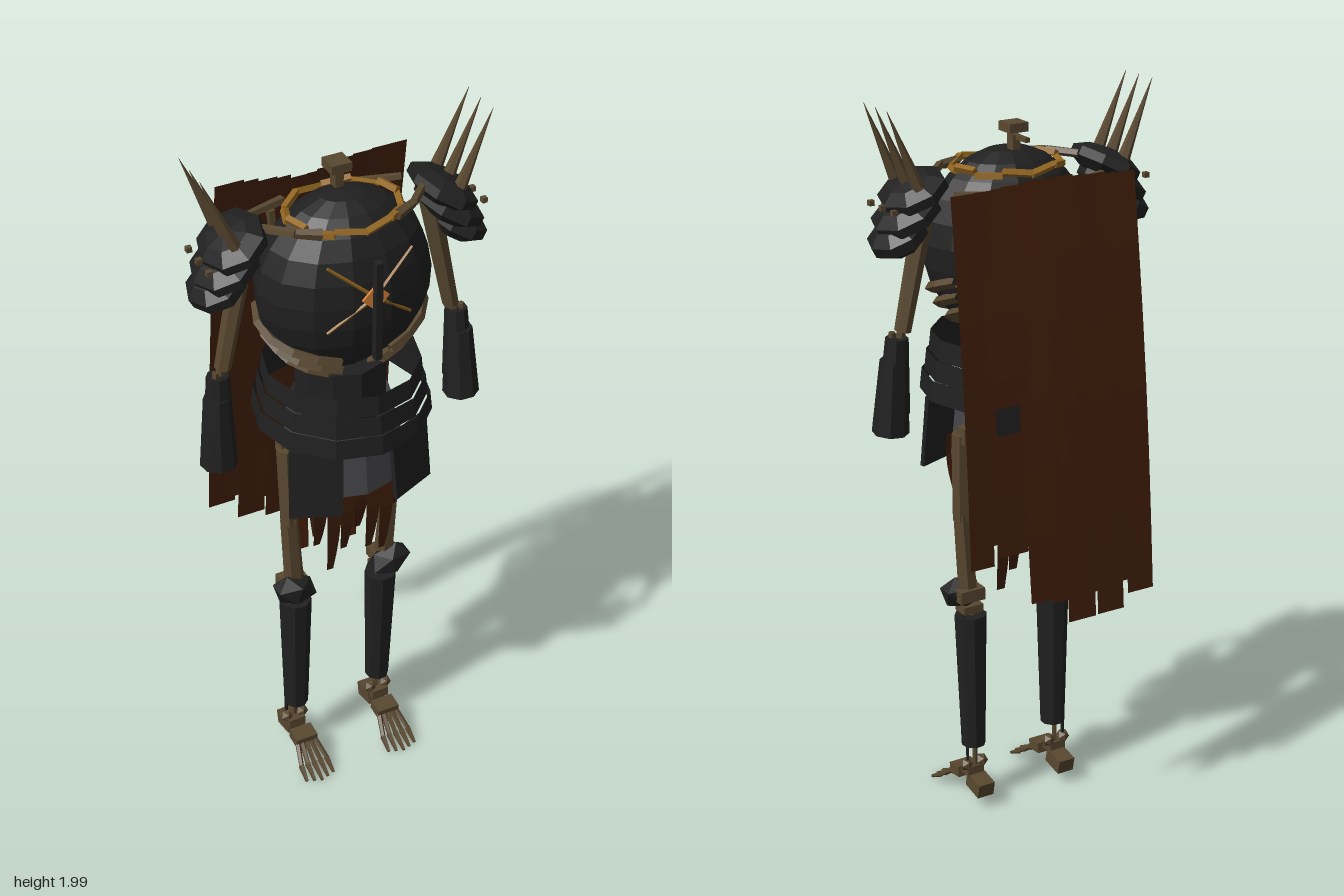
import * as THREE from 'three';

const mat = (name, color) => {
  const m = new THREE.MeshStandardMaterial({ color, flatShading: true, side: THREE.DoubleSide });
  m.name = name;
  return m;
};

export function createModel() {
  const model = new THREE.Group();
  model.name = 'skeletonKnight';
  const armor = mat('blackIron', 0x202021), bone = mat('oldBone', 0x594830), cloth = mat('tornCloth', 0x421f0a);
  const mail = mat('greyMail', 0x47474b), gold = mat('gold', 0x936620), ember = mat('ember', 0xdc8438);
  const V = (x, y, z) => new THREE.Vector3(x, y, z);

  const add = (name, geo, material, pos = [0, 0, 0], rot = [0, 0, 0], scale = [1, 1, 1]) => {
    const m = new THREE.Mesh(geo, material);
    m.name = name;
    m.position.set(...pos);
    m.rotation.set(...rot);
    m.scale.set(...scale);
    model.add(m);
    return m;
  };
  const box = (name, size, material, pos, rot) => add(name, new THREE.BoxGeometry(...size), material, pos, rot);
  // Tapered rod from a (radius ra) to b (radius rb)
  const rod = (name, a, b, ra, rb, material, sides = 6) => {
    const p = V(...a), q = V(...b), d = q.clone().sub(p);
    const m = add(name, new THREE.CylinderGeometry(rb, ra, d.length(), sides), material);
    m.position.copy(p).add(q).multiplyScalar(0.5);
    m.quaternion.setFromUnitVectors(V(0, 1, 0), d.normalize());
    return m;
  };
  // Hanging strip: z follows a bowed line from top to bottom
  const strip = (name, x, w, yTop, yBot, zTop, zBot, bow, taper, material = cloth) => {
    const g = new THREE.PlaneGeometry(1, 1, 1, 6), p = g.attributes.position;
    for (let i = 0; i < p.count; i++) {
      const t = 0.5 - p.getY(i);
      p.setXYZ(i, x + p.getX(i) * w * (1 - taper * t * t), yTop + (yBot - yTop) * t,
        zTop + (zBot - zTop) * t + bow * Math.sin(Math.PI * t));
    }
    g.computeVertexNormals();
    add(name, g, material);
  };

  // Torso: faceted breastplate over a darker inner bowl and abdomen
  add('breastplate', new THREE.SphereGeometry(1, 14, 9, 0, Math.PI * 2, 0, Math.PI * 0.72), armor, [0, 1.6, 0.06], [0, 0, 0], [0.235, 0.25, 0.17]);
  add('waistBowl', new THREE.SphereGeometry(1, 12, 8), armor, [0, 1.59, 0.07], [0, 0, 0], [0.2, 0.235, 0.14]);
  add('abdomen', new THREE.CylinderGeometry(0.12, 0.12, 0.16, 10), armor, [0, 1.29, 0.05]);

  // Collar of short gold bars, half sunk in the breastplate
  for (let i = 0; i < 12; i++) {
    const a = (i / 12) * Math.PI * 2, b = ((i + 1) / 12) * Math.PI * 2;
    const at = (t, dy) => [Math.sin(t) * 0.15, 1.803 + dy, 0.062 + Math.cos(t) * 0.122];
    rod('collarBar', at(a, i % 2 ? 0.006 : -0.006), at(b, i % 3 ? -0.004 : 0.006), 0.011, 0.011, gold, 4);
  }

  // Neck and spine
  box('neckTop', [0.055, 0.024, 0.055], bone, [0, 1.904, 0.028]);
  box('neckBase', [0.022, 0.04, 0.03], bone, [0, 1.865, 0.028]);
  box('neckSpur', [0.012, 0.012, 0.05], bone, [0, 1.88, -0.015]);
  for (let i = 0; i < 5; i++) box('vertebra', [0.045, 0.03, 0.04], bone, [0, 1.06 + i * 0.045, 0]);
  for (let i = 0; i < 5; i++) box('backSpur', [0.014, 0.035, 0.03], bone, [0, 1.48 + i * 0.06, -0.1]);

  // Chest emblem: bar, diamond and crossed rays
  box('emblemBar', [0.018, 0.28, 0.02], armor, [0, 1.61, 0.249]);
  box('emblemDiamond', [0.052, 0.052, 0.006], ember, [0, 1.642, 0.238], [0, 0, Math.PI / 4]);
  for (const s of [-1, 1]) {
    rod('emblemRayUpper', [0, 1.642, 0.236], [s * 0.115, 1.738, 0.205], 0.005, 0.004, gold, 4);
    rod('emblemRayLower', [0, 1.642, 0.236], [s * 0.115, 1.55, 0.205], 0.005, 0.004, gold, 4);
  }

  // Waist bands: three open rings
  for (const [y, r] of [[1.333, 0.211], [1.279, 0.223], [1.226, 0.236]])
    add('waistBand', new THREE.CylinderGeometry(r - 0.006, r, 0.056, 12, 1, true), armor, [0, y, 0.055]);

  // Mail skirt
  add('mailSkirt', new THREE.CylinderGeometry(0.137, 0.158, 0.22, 12, 1, true), mail, [0, 1.12, 0.05]);

  // Ragged strands under the skirt
  [[-0.11, 0.8], [-0.07, 0.7], [-0.03, 0.76], [0.01, 0.82], [0.045, 0.74], [0.085, 0.72], [0.115, 0.86]].forEach(([x, y], i) => {
    strip('frontStrand', x, 0.046, 1.06, y + 0.02, 0.15, 0.13, 0.014, 0.6);
    strip('backStrand', x * 0.95, 0.05, 1.06, y - (i % 3) * 0.03, -0.05, -0.035, -0.014, 0.5);
  });

  // Cape: overlapping strips [x, width, bottom, top z, bottom z]
  for (const [x, w, yb, zt, zb] of [
    [-0.2, 0.08, 0.69, -0.165, -0.29], [-0.12, 0.082, 0.64, -0.142, -0.27], [-0.04, 0.085, 0.63, -0.12, -0.255],
    [0.025, 0.065, 0.7, -0.122, -0.262], [0.095, 0.092, 0.73, -0.14, -0.29], [0.182, 0.088, 0.87, -0.156, -0.268],
    [0.26, 0.07, 0.84, -0.16, -0.245],
    [-0.16, 0.07, 0.72, -0.155, -0.272], [-0.08, 0.07, 0.7, -0.135, -0.255], [0.055, 0.06, 0.76, -0.13, -0.27],
    [0.14, 0.07, 0.88, -0.15, -0.262], [0.225, 0.06, 0.9, -0.16, -0.25],
  ]) strip('capeStrip', x, w, 1.8, yb, zt, zb, -0.012, 0);
  strip('capePatch', 0.18, 0.07, 1.26, 1.19, -0.235, -0.242, 0, 0, armor);

  for (const s of [-1, 1]) {
    // Lower ribs hugging the torso, falling towards the front
    for (let i = 0; i < 3; i++) {
      const pts = [];
      for (let j = 0; j <= 5; j++) {
        const a = -0.5 + j * 0.34, y = 1.535 - i * 0.042 - j * 0.019;
        const k = Math.sqrt(1 - ((y - 1.6) / 0.262) ** 2);
        pts.push(V(s * Math.cos(a) * 0.237 * k, y, 0.062 + Math.sin(a) * 0.172 * k));
      }
      add('rib', new THREE.TubeGeometry(new THREE.CatmullRomCurve3(pts), 5, 0.014, 4), bone);
    }

    // Collarbone and shoulder blade bars
    rod('collarboneInner', [s * 0.1, 1.8, 0.15], [s * 0.16, 1.805, 0.125], 0.016, 0.012, bone, 5);
    rod('collarboneOuter', [s * 0.16, 1.805, 0.125], [s * 0.22, 1.8, 0.06], 0.012, 0.012, bone, 5);
    rod('shoulderBladeRidge', [s * 0.09, 1.76, -0.095], [s * 0.22, 1.77, -0.05], 0.014, 0.01, bone, 5);
    rod('shoulderBladeEdge', [s * 0.12, 1.74, -0.1], [s * 0.1, 1.56, -0.105], 0.013, 0.008, bone, 5);

    // Pauldron: three overlapping faceted plates with spikes and rivets
    for (const [x, y, rx, ry, rz] of [[0.288, 1.772, 0.092, 0.04, 0.115], [0.309, 1.716, 0.094, 0.042, 0.108], [0.334, 1.662, 0.08, 0.045, 0.092]])
      add('pauldronPlate', new THREE.SphereGeometry(1, 8, 5), armor, [s * x, y, 0.04], [0, 0, -s * 0.5], [rx, ry, rz]);
    for (const z of [-0.022, 0.038, 0.098]) {
      rod('shoulderSpike', [s * 0.295, 1.77, z], [s * 0.39, 1.995, z], 0.019, 0.0005, bone, 6);
      box('rivet', [0.014, 0.014, 0.014], bone, [s * 0.376, 1.74, z]);
    }

    // Arm
    rod('upperArm', [s * 0.255, 1.74, 0.035], [s * 0.325, 1.41, 0.04], 0.028, 0.022, bone);
    rod('forearmBone', [s * 0.328, 1.43, 0.04], [s * 0.35, 1.2, 0.05], 0.013, 0.012, bone, 5);
    rod('forearmBone', [s * 0.35, 1.41, 0.05], [s * 0.365, 1.2, 0.06], 0.009, 0.009, bone, 5);
    rod('vambrace', [s * 0.34, 1.395, 0.043], [s * 0.347, 1.19, 0.055], 0.03, 0.042, armor, 8);
    rod('vambraceCuff', [s * 0.347, 1.335, 0.05], [s * 0.354, 1.135, 0.062], 0.036, 0.049, armor, 8);

    // Thigh plates, hips
    box('thighPlate', [0.14, 0.2, 0.012], armor, [s * 0.137, 1.075, 0.183], [-0.1, s * 0.4, s * 0.05]);
    box('hipKnob', [0.035, 0.045, 0.04], bone, [s * 0.15, 1.1, 0.022]);

    // Leg
    rod('thighUpper', [s * 0.155, 1.1, 0.04], [s * 0.152, 0.85, 0.048], 0.028, 0.025, bone);
    rod('thighLower', [s * 0.152, 0.87, 0.048], [s * 0.138, 0.65, 0.045], 0.025, 0.028, bone);
    box('kneeJoint', [0.075, 0.035, 0.06], bone, [s * 0.14, 0.635, 0.04]);
    add('kneeGuard', new THREE.IcosahedronGeometry(1, 0), armor, [s * 0.145, 0.627, 0.064], [0, 0, s * 0.3], [0.068, 0.048, 0.044]);
    box('shinHead', [0.06, 0.022, 0.05], bone, [s * 0.135, 0.592, 0.04]);
    rod('greave', [s * 0.132, 0.57, 0.04], [s * 0.13, 0.175, 0.032], 0.045, 0.034, armor, 8);
    rod('shinBone', [s * 0.13, 0.6, 0.035], [s * 0.132, 0.1, 0.022], 0.009, 0.007, bone, 5);
    rod('outerShinBone', [s * 0.158, 0.6, 0.03], [s * 0.156, 0.1, 0.02], 0.005, 0.005, armor, 4);

    // Foot
    for (const dx of [-0.024, 0.024])
      add('ankleKnob', new THREE.IcosahedronGeometry(0.02, 0), bone, [s * 0.135 + dx, 0.12, 0.025]);
    box('ankle', [0.05, 0.03, 0.04], bone, [s * 0.135, 0.1, 0.03]);
    box('heel', [0.05, 0.042, 0.068], bone, [s * 0.132, 0.066, -0.006], [-0.2, 0, 0]);
    box('instep', [0.066, 0.03, 0.048], bone, [s * 0.132, 0.077, 0.082], [0.1, 0, 0]);
    for (let i = -2; i <= 2; i++) {
      const x = s * 0.132 + i * 0.013, x2 = s * 0.132 + i * 0.02;
      rod('footBone', [x, 0.073, 0.095], [x2, 0.032, 0.15], 0.008, 0.007, bone, 5);
      rod('toe', [x2, 0.032, 0.15], [x2 + i * 0.001, 0.008, 0.205 - Math.abs(i) * 0.007], 0.009, 0.005, bone, 5);
    }
  }
  return model;
}
